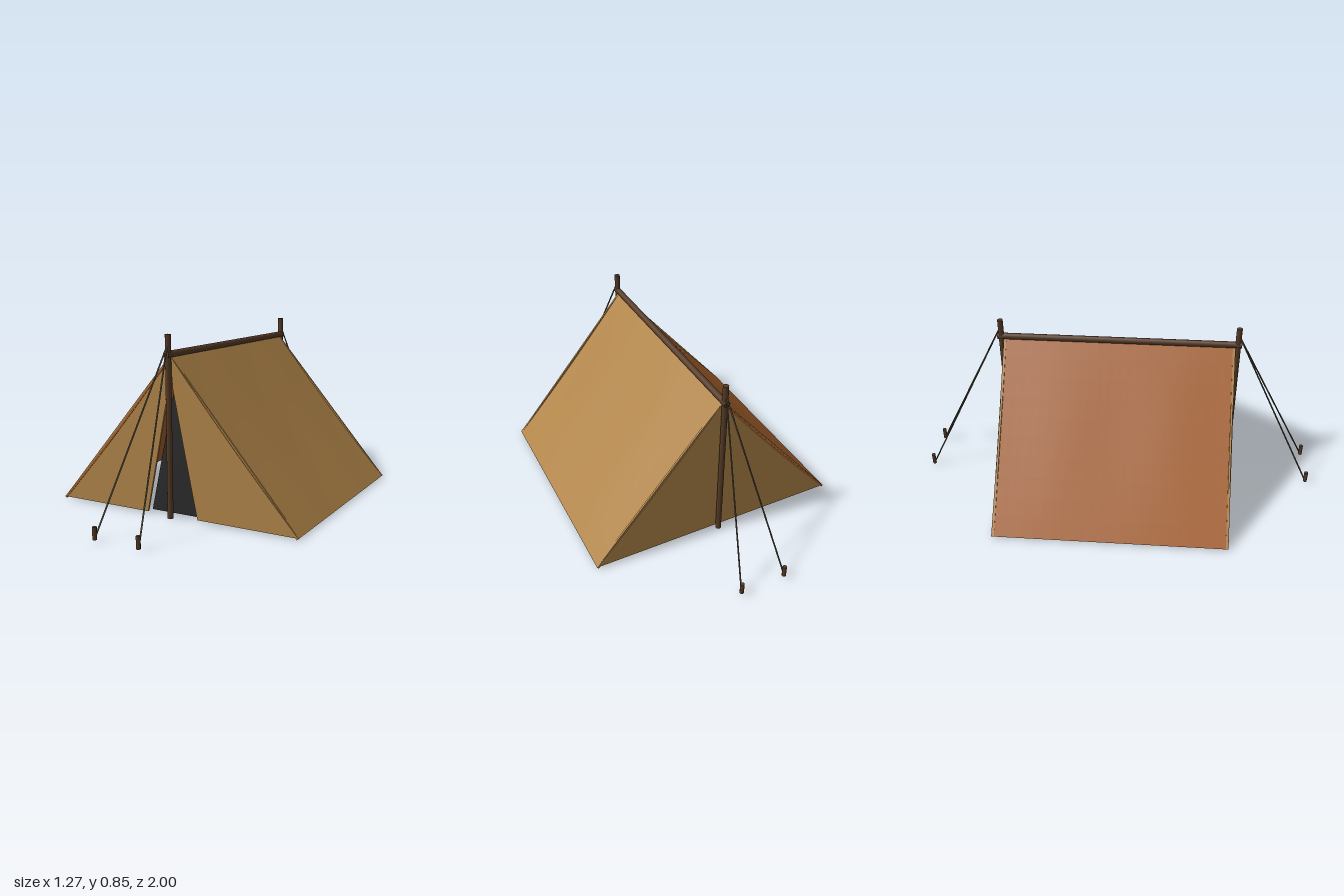
import * as THREE from 'three';

const mat = (color, side = THREE.FrontSide) => new THREE.MeshStandardMaterial({ color, side });

export function createModel() {
  const tent = new THREE.Group();
  const tan = mat(0xb08448), rust = mat(0xa8622c), wood = mat(0x553a25);
  const cord = mat(0x55503f), dark = mat(0x2a2a2a, THREE.DoubleSide);

  const add = (name, geometry, material, parent = tent) => {
    const mesh = new THREE.Mesh(geometry, material);
    mesh.name = name;
    parent.add(mesh);
    return mesh;
  };

  // Round bar between two points
  const bar = (name, a, b, r, material, sides = 8, parent = tent) => {
    const p = new THREE.Vector3(...a), q = new THREE.Vector3(...b);
    const d = q.clone().sub(p);
    const mesh = add(name, new THREE.CylinderGeometry(r, r, d.length(), sides), material, parent);
    mesh.position.copy(p).add(q).multiplyScalar(0.5);
    mesh.quaternion.setFromUnitVectors(new THREE.Vector3(0, 1, 0), d.normalize());
    return mesh;
  };

  // Flat cloth panel cut from an outline
  const panel = (name, points, z, depth, material) => {
    const shape = new THREE.Shape(points.map(([x, y]) => new THREE.Vector2(x, y)));
    const mesh = add(name, new THREE.ExtrudeGeometry(shape, { depth, bevelEnabled: false }), material);
    mesh.position.z = z;
    return mesh;
  };

  const half = 0.635, top = 0.75, base = 0.007, thick = 0.01;
  const slope = Math.hypot(half, top - base), angle = Math.atan2(top - base, half);

  // Sloping roof cloths, sagging and rippling slightly between the ends
  for (const s of [1, -1]) {
    const g = new THREE.BoxGeometry(slope, thick, 1.14, 10, 1, 24);
    const p = g.attributes.position;
    for (let i = 0; i < p.count; i++) {
      const sag = Math.sin(Math.PI * (p.getX(i) / slope + 0.5));
      p.setY(i, p.getY(i) - sag * (0.007 + 0.002 * Math.cos(p.getZ(i) * 12)));
    }
    g.computeVertexNormals();
    const roof = add(s > 0 ? 'leftRoofCloth' : 'rightRoofCloth', g, s > 0 ? tan : rust);
    roof.rotation.z = -s * angle;
    roof.position.set(
      s * (half / 2 - Math.sin(angle) * thick / 2),
      (top + base) / 2 - Math.cos(angle) * thick / 2, 0);
  }

  // Back wall, and two front walls with a curved door opening
  panel('backWall', [[-half, base], [half, base], [0, top]], -0.567, thick, tan);
  for (const s of [1, -1]) {
    panel(s > 0 ? 'frontLeftWall' : 'frontRightWall',
      [[s * half, base], [0, top], [s * 0.012, 0.6], [s * 0.067, 0.33], [s * 0.135, base]],
      0.557, thick, tan);
  }

  // Dark door cloth just inside the opening
  panel('doorCloth',
    [[-0.135, base], [0.135, base], [0.063, 0.33], [0, 0.61], [-0.063, 0.33]],
    0.525, 0.004, dark);

  // Ridge pole
  bar('ridgePole', [0, 0.755, -0.6], [0, 0.755, 0.6], 0.016, wood, 10);

  // Upright pole, guy ropes and pegs at each end
  for (const e of [1, -1]) {
    const end = new THREE.Group();
    end.name = e > 0 ? 'frontSupports' : 'backSupports';
    tent.add(end);
    bar('uprightPole', [0, 0, e * 0.582], [0, 0.845, e * 0.582], 0.014, wood, 10, end);
    for (const s of [1, -1]) {
      bar('guyRope', [0, 0.79, e * 0.592], [s * 0.112, 0.02, e * 0.985], 0.004, cord, 6, end);
      bar('peg', [s * 0.112, 0.008, e * 0.99], [s * 0.112, 0.065, e * 0.99], 0.01, wood, 8, end);
    }
  }
  return tent;
}
